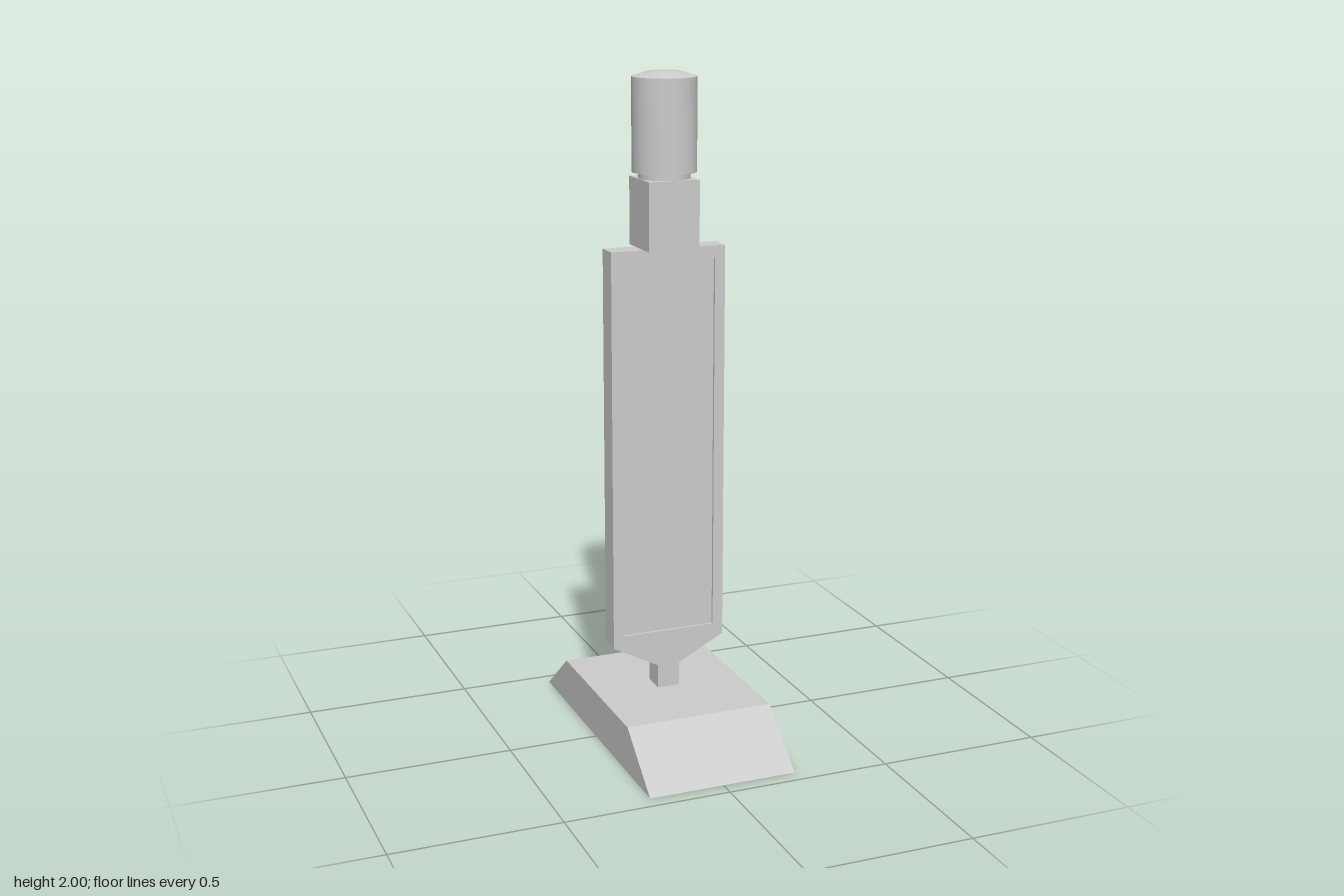
import * as THREE from 'three';
import { toCreasedNormals } from 'three/addons/utils/BufferGeometryUtils.js';

const material = new THREE.MeshStandardMaterial({ color: 0xcccccc });

function add(parent, name, geometry, x = 0, y = 0, z = 0) {
  const mesh = new THREE.Mesh(geometry, material);
  mesh.name = name;
  mesh.position.set(x, y, z);
  parent.add(mesh);
  return mesh;
}

// Extrude an outline along z, centred on z = 0
function slab(shape, depth) {
  return new THREE.ExtrudeGeometry(shape, { depth, bevelEnabled: false }).translate(0, 0, -depth / 2);
}

function shapeOf(points) {
  return new THREE.Shape(points.map(([x, y]) => new THREE.Vector2(x, y)));
}

export function createModel() {
  const model = new THREE.Group();
  model.name = 'stand';

  // Base: trapezoid profile seen from the side, extruded across the width
  const base = slab(shapeOf([[-0.453, 0], [0.453, 0], [0.273, 0.143], [-0.273, 0.143]]), 0.454);
  add(model, 'base', base.rotateY(Math.PI / 2));

  const upper = new THREE.Group();
  upper.name = 'upperAssembly';
  upper.position.set(-0.002, 0, -0.002);
  model.add(upper);

  // Blade frame with tapered foot and a window through it
  const outline = shapeOf([
    [-0.035, 0.14], [0.035, 0.14], [0.035, 0.215], [0.177, 0.29],
    [0.177, 1.495], [-0.177, 1.495], [-0.177, 0.29], [-0.035, 0.215],
  ]);
  const [w, y0, y1] = [0.145, 0.325, 1.46];
  outline.holes.push(new THREE.Path([
    new THREE.Vector2(-w, y0), new THREE.Vector2(-w, y1),
    new THREE.Vector2(w, y1), new THREE.Vector2(w, y0),
  ]));
  add(upper, 'bladeFrame', slab(outline, 0.07));

  // Panel recessed on both faces
  add(upper, 'recessedPanel', new THREE.BoxGeometry(2 * w, y1 - y0, 0.054), 0, (y0 + y1) / 2, 0);

  // Square socket block and round neck
  add(upper, 'socketBlock', new THREE.BoxGeometry(0.156, 0.2, 0.156), 0, 1.595, 0);
  add(upper, 'neck', new THREE.CylinderGeometry(0.075, 0.075, 0.04, 32), 0, 1.705, 0);

  // Cylindrical cap with a shallow domed top
  const profile = [[0, 1.713], [0.094, 1.713], [0.094, 1.983], [0.05, 1.997], [0, 2]];
  const cap = new THREE.LatheGeometry(profile.map(([r, y]) => new THREE.Vector2(r, y)), 32);
  add(upper, 'domedCap', toCreasedNormals(cap, 0.6));

  return model;
}
